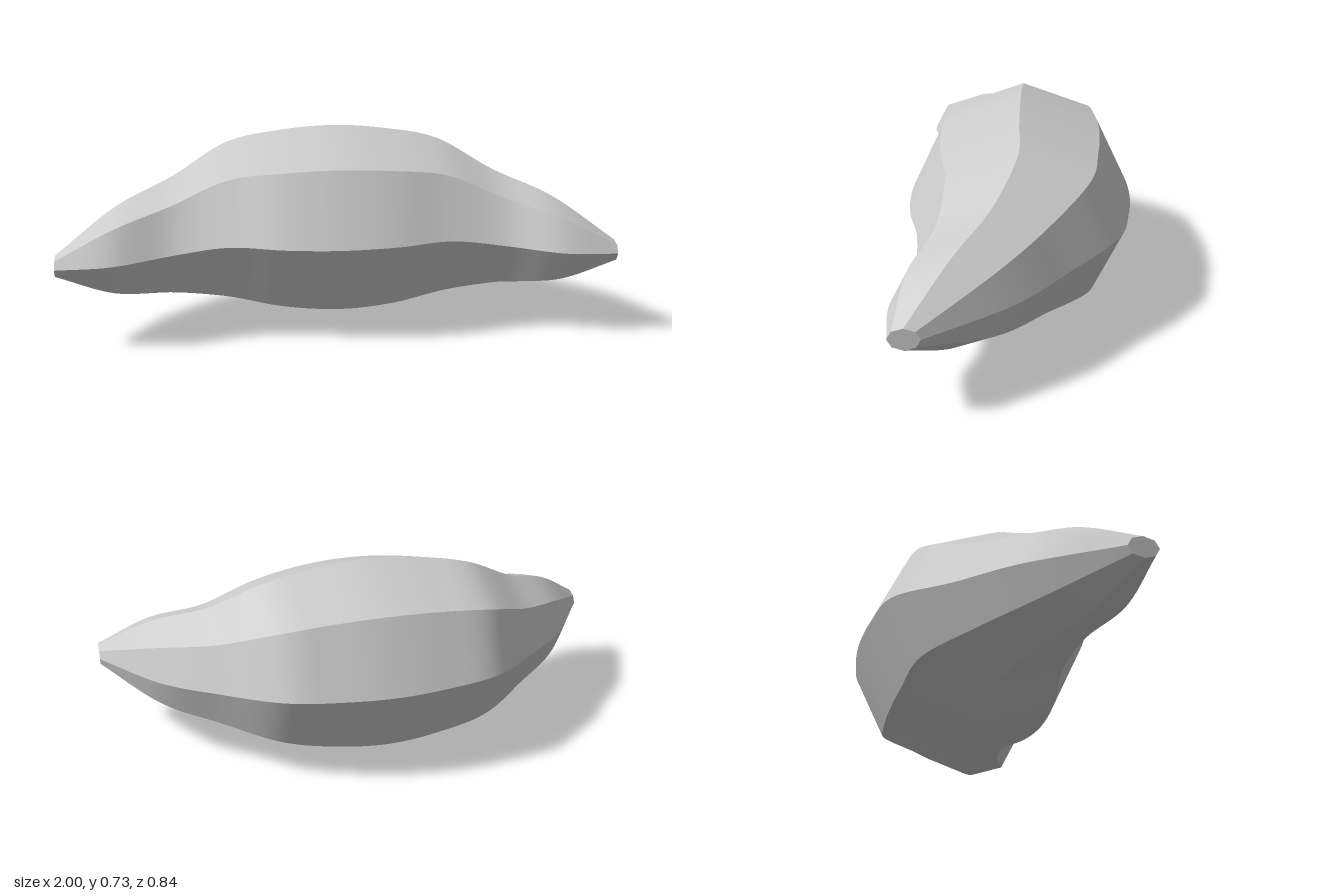
import * as THREE from 'three';

// Half of the crescent, middle to tip: x, centre y, centre z, radius y, radius z
const HALF = [
  [0.0, 0.368, 0.0, 0.367, 0.418],
  [0.2, 0.37, 0.0, 0.35, 0.402],
  [0.4, 0.372, 0.0, 0.306, 0.355],
  [0.6, 0.345, 0.082, 0.226, 0.264],
  [0.8, 0.328, 0.2, 0.163, 0.2],
  [1.0, 0.317, 0.332, 0.039, 0.053],
];
const SIDES = 8;
const STEPS = 80;

export function createModel() {
  const group = new THREE.Group();
  const dough = new THREE.MeshStandardMaterial({ color: 0xcccccc });
  dough.name = 'pale grey';

  // Mirror the stations and smooth them along the length
  const stations = [
    ...HALF.slice(1).reverse().map(([x, ...rest]) => [-x, ...rest]),
    ...HALF,
  ];
  const spine = new THREE.CatmullRomCurve3(
    stations.map(([x, y, z]) => new THREE.Vector3(x, y, z)), false, 'catmullrom', 0.5);
  const radii = new THREE.CatmullRomCurve3(
    stations.map(([x, , , ry, rz]) => new THREE.Vector3(x, ry, rz)), false, 'catmullrom', 0.5);

  // Corner k of the octagonal section at t
  const corner = (t, k) => {
    const c = spine.getPoint(t), r = radii.getPoint(t);
    const a = (k / SIDES) * Math.PI * 2;
    return [c.x, c.y + r.y * Math.cos(a), c.z + r.z * Math.sin(a)];
  };

  const positions = [], index = [];
  // Eight long panels: smooth lengthwise, sharp where they meet
  for (let k = 0; k < SIDES; k++) {
    const base = positions.length / 3;
    for (let i = 0; i <= STEPS; i++) {
      positions.push(...corner(i / STEPS, k), ...corner(i / STEPS, k + 1));
      if (i === STEPS) continue;
      const a = base + i * 2;
      index.push(a, a + 1, a + 2, a + 1, a + 3, a + 2);
    }
  }
  group.add(makeMesh('crescentBody', positions, index, dough));

  // Flat octagonal tips
  for (const [name, t] of [['rightTip', 0], ['leftTip', 1]]) {
    const points = [], faces = [];
    for (let k = 0; k < SIDES; k++) points.push(...corner(t, k));
    for (let k = 1; k < SIDES - 1; k++) faces.push(0, ...(t ? [k, k + 1] : [k + 1, k]));
    group.add(makeMesh(name, points, faces, dough));
  }
  return group;
}

function makeMesh(name, positions, index, material) {
  const geometry = new THREE.BufferGeometry();
  geometry.setAttribute('position', new THREE.Float32BufferAttribute(positions, 3));
  geometry.setIndex(index);
  geometry.computeVertexNormals();
  const mesh = new THREE.Mesh(geometry, material);
  mesh.name = name;
  return mesh;
}
